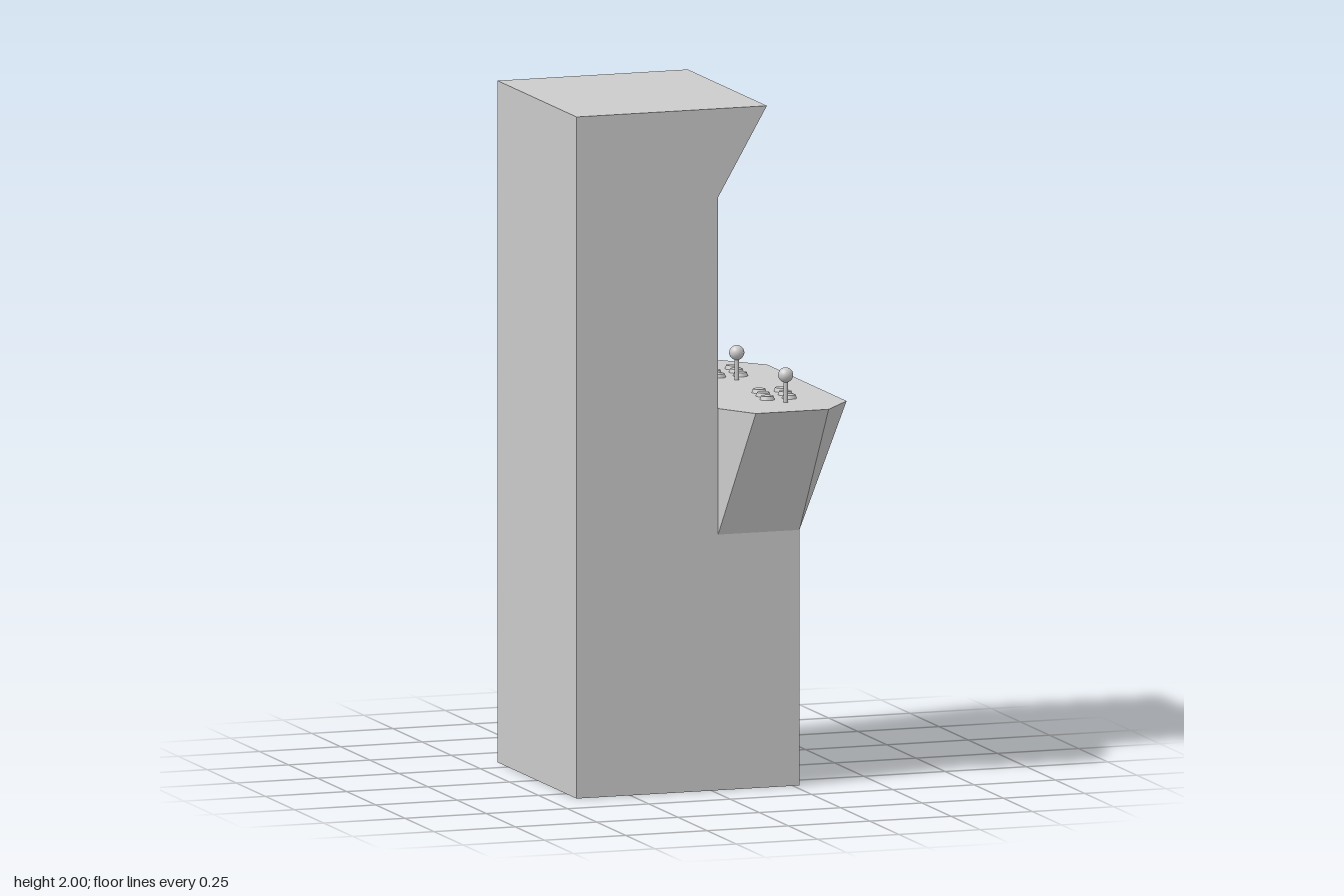
import * as THREE from 'three';
import { ConvexGeometry } from 'three/addons/geometries/ConvexGeometry.js';

const material = new THREE.MeshStandardMaterial({ color: 0xcccccc });
const HALF = 0.34; // half width of the cabinet

function part(parent, name, geometry, x = 0, y = 0, z = 0) {
  const mesh = new THREE.Mesh(geometry, material);
  mesh.name = name;
  mesh.position.set(x, y, z);
  parent.add(mesh);
  return mesh;
}

// Cabinet: cross-sections [x, y, half width] walked round the profile, plus mirrored sides
function cabinetGeometry() {
  const positions = [];
  const fan = (pts) => {
    for (let i = 1; i < pts.length - 1; i++) positions.push(...pts[0], ...pts[i], ...pts[i + 1]);
  };
  const mirrored = (pts) => {
    fan(pts);
    fan([pts[0], ...pts.slice(1).reverse()].map(([x, y, z]) => [x, y, -z]));
  };

  // Corners of the sloping bezel and of the recessed screen opening
  const bezelLow = [0.02, 1.225, 0.275], bezelHigh = [-0.03, 1.69, 0.275];
  const recessLow = [-0.08, 1.255, 0.245], recessHigh = [-0.13, 1.665, 0.245];
  const brow = [0.02, 1.74, HALF], ledge = [0.02, 0.75, HALF];
  const backTop = [-0.415, 2, HALF], backBottom = [-0.415, 0, HALF];
  const frontBottom = [0.27, 0, HALF], frontTop = [0.27, 0.75, HALF];
  const marquee = [0.17, 2, HALF];

  const loop = [backTop, backBottom, frontBottom, frontTop, ledge, bezelLow,
    recessLow, recessHigh, bezelHigh, brow, marquee];
  loop.forEach(([ax, ay, az], i) => {
    const [bx, by, bz] = loop[(i + 1) % loop.length];
    fan([[ax, ay, az], [ax, ay, -az], [bx, by, -bz], [bx, by, bz]]);
  });

  mirrored([backBottom, frontBottom, frontTop, ledge, [-0.415, 0.75, HALF]]); // lower side
  mirrored([backTop, [-0.415, 0.75, HALF], ledge, brow, marquee]); // upper side
  mirrored([bezelLow, bezelHigh, brow, ledge]); // strip beside the screen
  mirrored([bezelLow, recessLow, recessHigh, bezelHigh]); // recess wall

  const geometry = new THREE.BufferGeometry();
  geometry.setAttribute('position', new THREE.Float32BufferAttribute(positions, 3));
  geometry.computeVertexNormals();
  return geometry;
}

// Control panel: small rectangle below flaring to an eight-sided top
function controlPanelGeometry() {
  const points = [];
  for (const s of [-1, 1]) {
    for (const [x, y, z] of [
      [0.02, 0.75, HALF], [0.27, 0.75, HALF],
      [0.02, 1.12, HALF], [0.093, 1.12, 0.46], [0.317, 1.12, 0.46], [0.415, 1.12, HALF],
    ]) points.push(new THREE.Vector3(x, y, s * z));
  }
  return new ConvexGeometry(points);
}

// Screen: plane bulging towards the player
function screenGeometry(width, height, bulge) {
  const geometry = new THREE.PlaneGeometry(width, height, 20, 20);
  const p = geometry.attributes.position;
  for (let i = 0; i < p.count; i++) {
    const u = p.getX(i) / (width / 2), v = p.getY(i) / (height / 2);
    p.setZ(i, bulge * (1 - (u * u + v * v) / 2) + 0.002);
  }
  geometry.computeVertexNormals();
  return geometry.rotateY(Math.PI / 2);
}

export function createModel() {
  const model = new THREE.Group();
  model.name = 'arcadeCabinet';

  part(model, 'cabinet', cabinetGeometry());
  part(model, 'controlPanel', controlPanelGeometry());
  part(model, 'coinDoor', new THREE.BoxGeometry(0.04, 0.44, 0.365), 0.277, 0.353, 0.002);

  const screen = part(model, 'screen', screenGeometry(0.49, 0.413, 0.045), -0.105, 1.46, 0);
  screen.rotation.z = Math.atan2(0.05, 0.41);

  // Lamps under the marquee
  const lamp = new THREE.SphereGeometry(0.024, 20, 14);
  for (const z of [-0.23, 0.23]) part(model, 'lamp', lamp, -0.005, 1.716, z);

  // Buttons: low discs with a bevelled rim
  const button = new THREE.CylinderGeometry(0.018, 0.022, 0.012, 20);
  const addButton = (x, z) => part(model, 'button', button, x, 1.125, z);
  for (const z of [0.042, -0.021]) addButton(0.095, z);

  // Two player stations
  const stick = new THREE.CylinderGeometry(0.007, 0.007, 0.08, 12);
  const ball = new THREE.SphereGeometry(0.022, 20, 14);
  for (const z of [-0.12, 0.3]) {
    part(model, 'joystickShaft', stick, 0.242, 1.155, z);
    part(model, 'joystickBall', ball, 0.242, 1.2, z);
    for (let row = 0; row < 3; row++) {
      for (let column = 0; column < 2; column++) {
        addButton(0.208 + row * 0.01 + column * 0.068, z - 0.063 * (row + 1));
      }
    }
  }
  return model;
}
